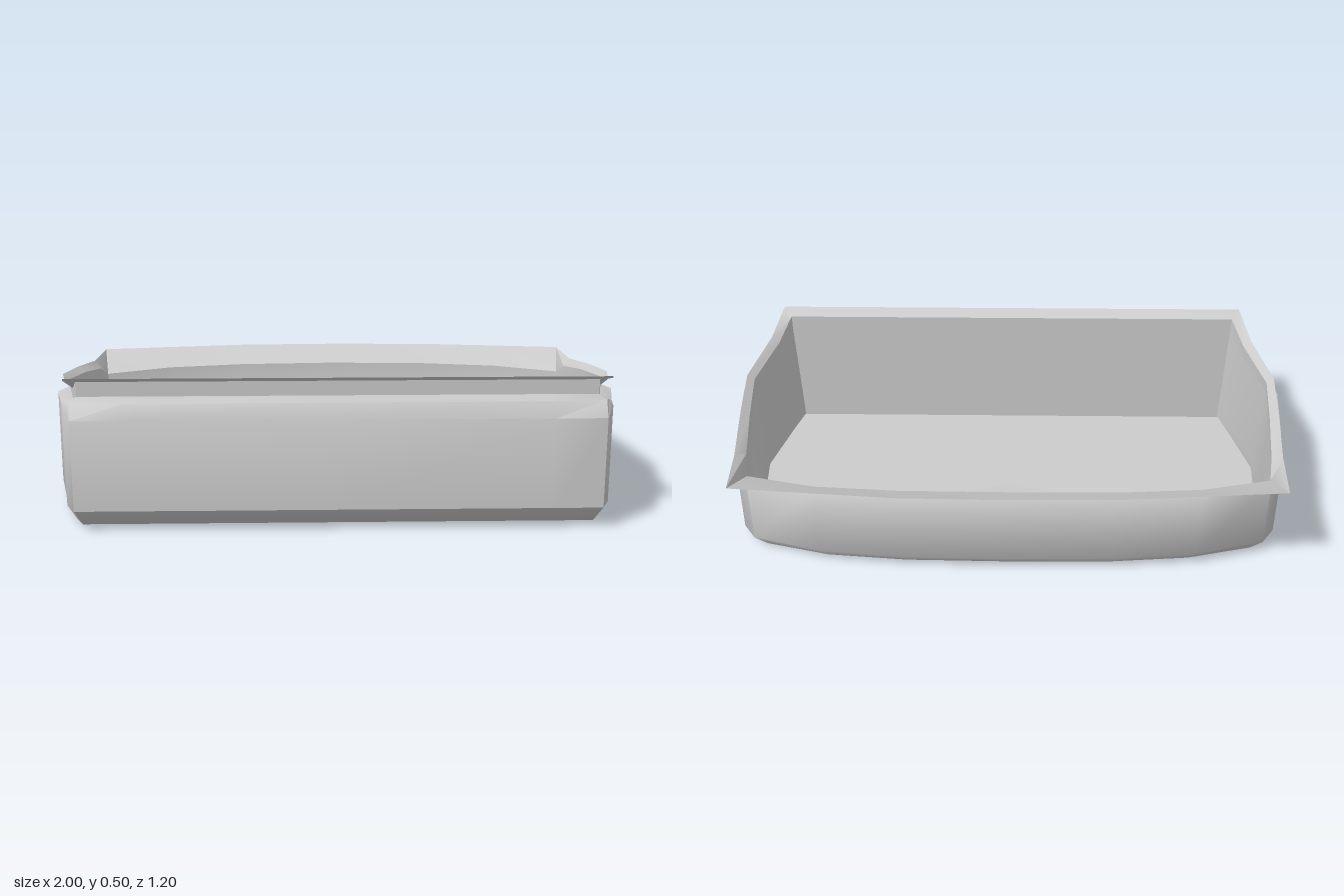
import * as THREE from 'three';
import { toCreasedNormals } from 'three/addons/utils/BufferGeometryUtils.js';

// Each half ring runs front centre -> left side -> back centre as [x, y, z].
const zip = (plan, heights) => plan.map(([x, z], i) => [x, heights[i], z]);

// Mirror a half ring into a closed loop.
const fullRing = (half) => [
  ...half,
  ...half.slice(1, -1).reverse().map(([x, y, z]) => [-x, y, z]),
];

// Skin consecutive rings; optionally close the first or last one with a fan.
function skin(halves, { capFirst = false, capLast = false, crease = 0.85 } = {}) {
  const rings = halves.map(fullRing);
  const n = rings[0].length;
  const positions = rings.flat(2);
  const index = [];
  for (let r = 0; r < rings.length - 1; r++) {
    for (let j = 0; j < n; j++) {
      const k = (j + 1) % n;
      const a = r * n + j, b = r * n + k, c = a + n, d = b + n;
      index.push(a, b, d, a, d, c);
    }
  }
  const cap = (r, flip) => {
    const centre = positions.length / 3;
    positions.push(0, rings[r][0][1], 0);
    for (let j = 0; j < n; j++) {
      const a = r * n + j, b = r * n + ((j + 1) % n);
      index.push(...(flip ? [b, a, centre] : [a, b, centre]));
    }
  };
  if (capFirst) cap(0, true);
  if (capLast) cap(rings.length - 1, false);
  const geo = new THREE.BufferGeometry();
  geo.setAttribute('position', new THREE.Float32BufferAttribute(positions, 3));
  geo.setIndex(index);
  return toCreasedNormals(geo, crease);
}

export function createModel() {
  const group = new THREE.Group();
  group.name = 'openTray';
  const add = (name, geometry, side) => {
    const mesh = new THREE.Mesh(
      geometry, new THREE.MeshStandardMaterial({ color: 0xcccccc, side }));
    mesh.name = name;
    group.add(mesh);
  };

  // Plan outlines of the foot, outer wall, shelf and rim
  const footPlan = [[0, 0.51], [0.7, 0.51], [0.86, 0.51], [0.885, 0.46], [0.925, 0.34], [0.975, 0.11],
    [0.955, -0.1], [0.93, -0.29], [0.87, -0.35], [0.64, -0.41], [0.36, -0.435], [0, -0.44]];
  const wallPlan = [[0, 0.6], [0.7, 0.6], [0.87, 0.6], [0.912, 0.49], [0.942, 0.35], [1, 0.11],
    [0.98, -0.1], [0.955, -0.3], [0.905, -0.38], [0.66, -0.45], [0.37, -0.478], [0, -0.485]];
  const shelfPlan = [[0, 0.57], [0.7, 0.57], [0.88, 0.53], [0.9, 0.48], [0.93, 0.35], [0.975, 0.11],
    [0.96, -0.1], [0.938, -0.3], [0.903, -0.379], [0.66, -0.449], [0.37, -0.477], [0, -0.484]];
  const rimPlan = [[0, 0.47], [0.7, 0.47], [0.868, 0.47], [0.872, 0.46], [0.9, 0.35], [0.955, 0.11],
    [0.935, -0.1], [0.912, -0.3], [0.9, -0.378], [0.66, -0.448], [0.37, -0.476], [0, -0.483]];

  // Heights around the same stations
  const lowY = [0.075, 0.075, 0.075, 0.06, 0.05, 0.035, 0.035, 0.04, 0.05, 0.05, 0.05, 0.05];
  const wallY = [0.38, 0.38, 0.38, 0.395, 0.38, 0.365, 0.343, 0.32, 0.314, 0.325, 0.331, 0.334];
  const shelfY = [0.43, 0.43, 0.425, 0.415, 0.388, 0.37, 0.348, 0.323, 0.315, 0.326, 0.332, 0.335];
  const rimY = [0.43, 0.43, 0.43, 0.426, 0.39, 0.375, 0.35, 0.325, 0.316, 0.327, 0.333, 0.336];
  const rim = zip(rimPlan, rimY);

  // Outer shell with chamfered foot and front shelf
  add('outerBody', skin([
    footPlan.map(([x, z]) => [x, 0, z]),
    zip(wallPlan, lowY), zip(wallPlan, wallY), zip(shelfPlan, shelfY), rim,
  ], { capFirst: true }), THREE.FrontSide);

  // Inner walls and floor, a little inside the shell
  const inset = (s, y) => rimPlan.map(([x, z], i) => [x * s, y, i > 7 ? z * s : z]);
  add('innerBasin', skin([
    rim, inset(0.985, 0.06), rimPlan.map(([x, z], i) =>
      i > 6 ? [x * 0.96, 0.02, z + 0.045] : [x * 0.985, 0.02, z]),
  ], { capLast: true }), THREE.FrontSide);

  // Upright collar flaring into a thin lip, widest along the back
  const collarRise = [0.05, 0.05, 0.05, 0.048, 0.042, 0.035, 0.04, 0.035, 0.004, 0.003, 0.003, 0.003];
  const collar = rim.map(([x, y, z], i) => [x, y + collarRise[i], z]);
  const lip = zip(
    [[0, 0.515], [0.71, 0.515], [0.9, 0.515], [0.905, 0.5], [0.927, 0.35], [0.98, 0.11],
      [0.965, -0.1], [0.943, -0.34], [0.93, -0.54], [0.67, -0.565], [0.37, -0.593], [0, -0.6]],
    [0.5, 0.5, 0.5, 0.492, 0.455, 0.428, 0.41, 0.382, 0.388, 0.391, 0.394, 0.395]);
  add('flaredLip', skin([rim, collar, lip], { crease: 0.6 }), THREE.DoubleSide);

  return group;
}
